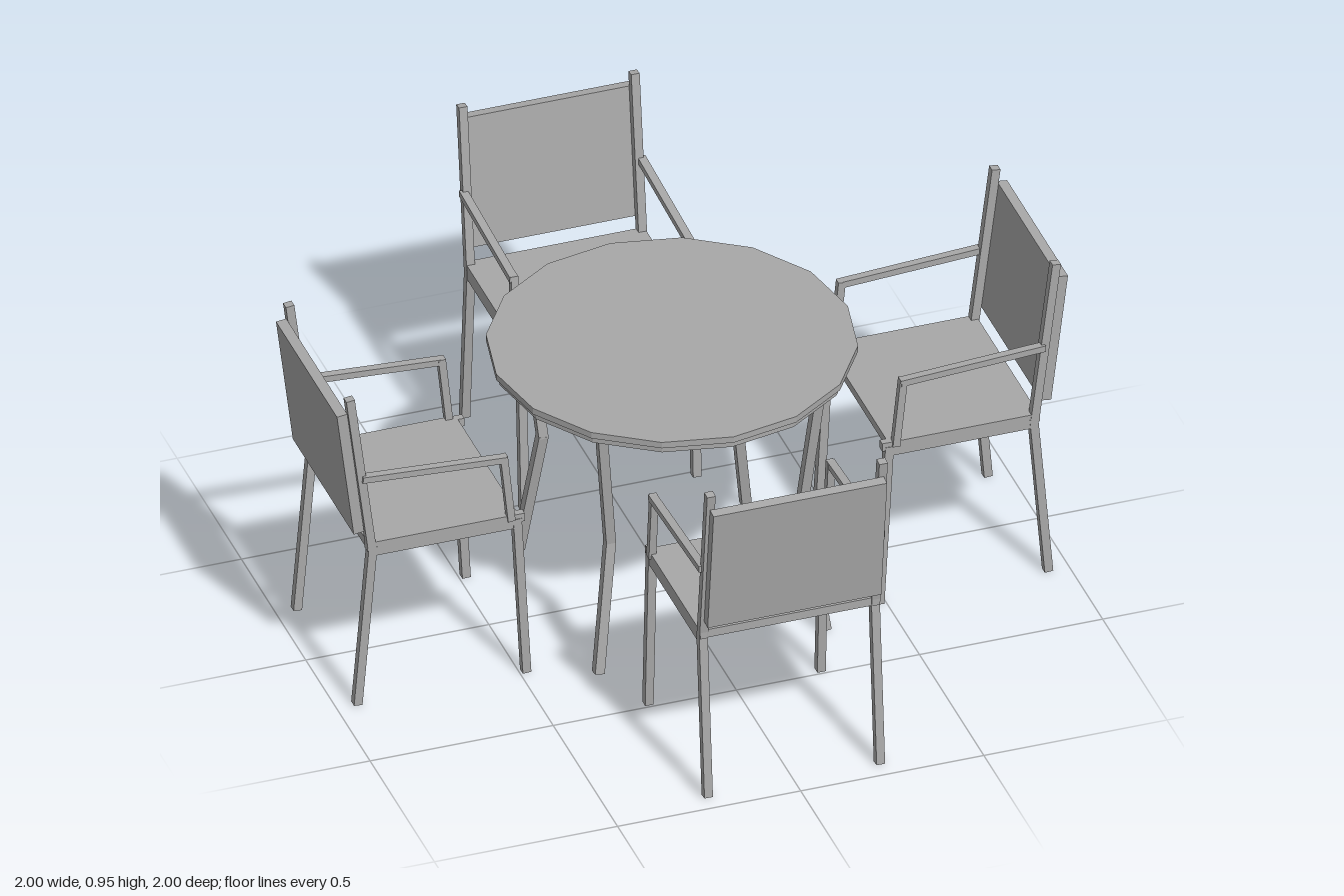
import * as THREE from 'three';

const grey = new THREE.MeshStandardMaterial({ color: 0xa8a8a8 });
grey.name = 'grey';

const UP = new THREE.Vector3(0, 1, 0);

// Square bar running from point a to point b
function bar(name, a, b, w = 0.025, d = w) {
  const start = new THREE.Vector3(...a);
  const end = new THREE.Vector3(...b);
  const dir = end.clone().sub(start);
  const mesh = new THREE.Mesh(new THREE.BoxGeometry(w, dir.length(), d), grey);
  mesh.name = name;
  mesh.position.copy(start).add(end).multiplyScalar(0.5);
  mesh.quaternion.setFromUnitVectors(UP, dir.normalize());
  return mesh;
}

function box(name, w, h, d, x, y, z) {
  const mesh = new THREE.Mesh(new THREE.BoxGeometry(w, h, d), grey);
  mesh.name = name;
  mesh.position.set(x, y, z);
  return mesh;
}

// Low-poly round table on four bent legs
function createTable() {
  const table = new THREE.Group();
  table.name = 'table';
  [['tableTop', 0.48, 0.018, 0.76], ['tableRim', 0.47, 0.019, 0.7415]].forEach(([name, r, h, y]) => {
    const disc = new THREE.Mesh(new THREE.CylinderGeometry(r, r, h, 16).toNonIndexed(), grey);
    disc.geometry.computeVertexNormals();
    disc.name = name;
    disc.position.y = y;
    table.add(disc);
  });
  for (const sx of [-1, 1]) for (const sz of [-1, 1]) {
    const at = (r, y) => [sx * r, y, sz * r];
    table.add(bar('tableLegUpper', at(0.262, 0.365), at(0.298, 0.735), 0.026));
    table.add(bar('tableLegLower', at(0.31, 0.004), at(0.262, 0.372), 0.026));
  }
  return table;
}

// Armchair on the +z side, facing the table
function createChair() {
  const chair = new THREE.Group();
  chair.name = 'chair';
  chair.add(box('seat', 0.46, 0.024, 0.41, 0, 0.482, 0.71));

  // Leaning back panel behind the posts
  chair.add(bar('backPanel', [0, 0.526, 0.938], [0, 0.898, 0.984], 0.474, 0.028));

  for (const s of [-1, 1]) {
    const x = s * 0.235;
    chair.add(bar('frontLeg', [x, 0.001, 0.482], [x, 0.48, 0.508], 0.023));
    chair.add(bar('backLeg', [x, 0.001, 0.943], [x, 0.48, 0.902], 0.023));
    chair.add(bar('backPost', [x, 0.47, 0.904], [x, 0.944, 0.964], 0.023));
    chair.add(box('seatRail', 0.02, 0.024, 0.43, x, 0.482, 0.703));
    chair.add(box('lowerRail', 0.02, 0.022, 0.39, x, 0.463, 0.705));
    chair.add(bar('armPost', [s * 0.241, 0.48, 0.525], [s * 0.241, 0.682, 0.546], 0.02));
    chair.add(bar('armrest', [s * 0.243, 0.673, 0.538], [s * 0.243, 0.696, 0.932], 0.022, 0.018));
  }
  return chair;
}

export function createModel() {
  const model = new THREE.Group();
  model.name = 'diningSet';
  model.add(createTable());
  for (let i = 0; i < 4; i++) {
    const chair = createChair();
    chair.rotation.y = i * Math.PI / 2;
    model.add(chair);
  }
  return model;
}
